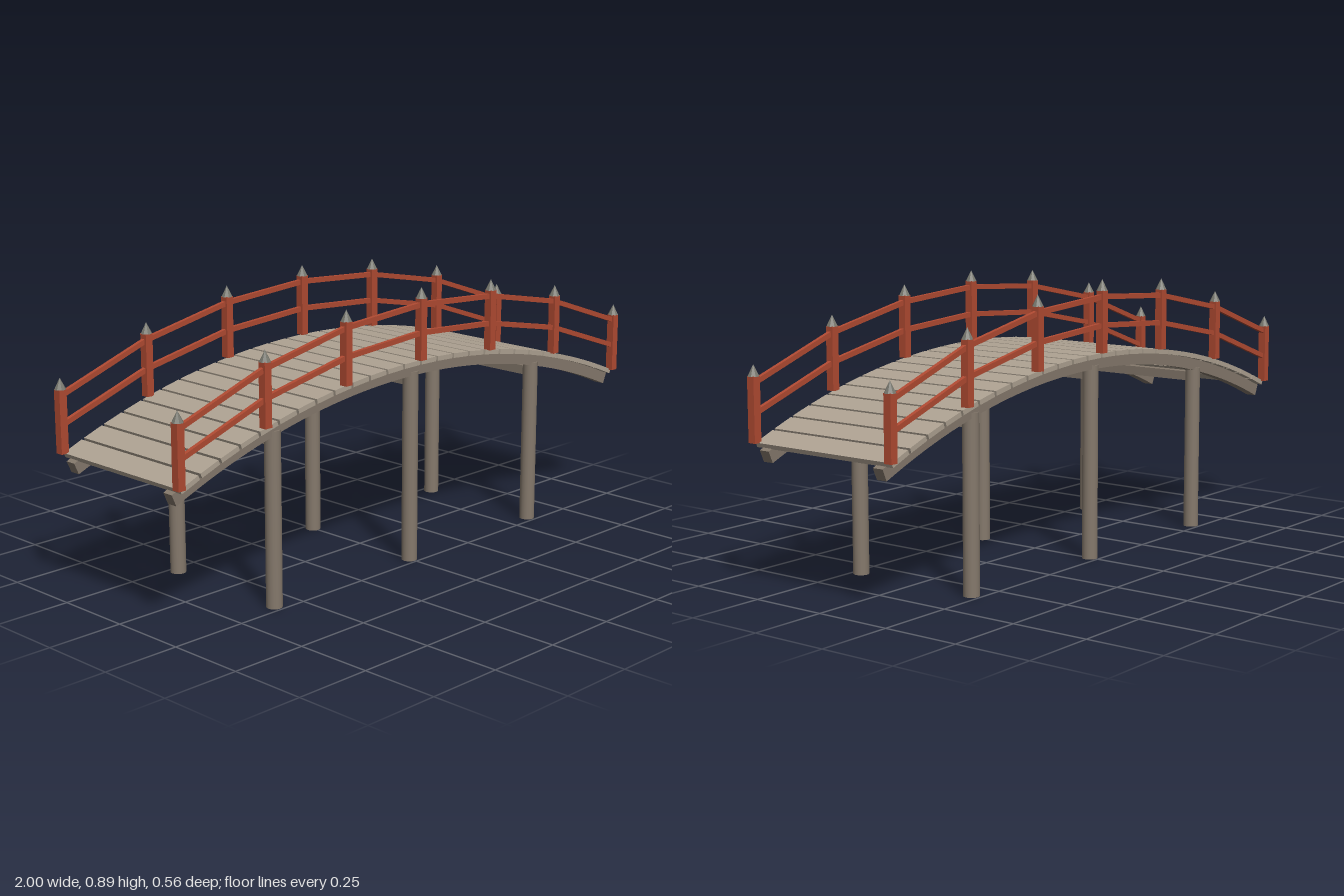
import * as THREE from 'three';

const material = (name, color) => new THREE.MeshStandardMaterial({ name, color });

// The deck follows a circular arc whose crown is at DECK_TOP.
const R = 2.5, DECK_TOP = 0.66, CY = DECK_TOP - R;
const deckY = (x, r = R) => CY + Math.sqrt(r * r - x * x);

export function createModel() {
  const model = new THREE.Group();
  model.name = 'archedFootbridge';
  const plankWood = material('pale plank wood', 0xaea292);
  const frameWood = material('brown frame wood', 0x85796c);
  const redPaint = material('red paint', 0xb04a32);
  const capMetal = material('grey cap', 0x77776e);

  const add = (name, geometry, mat, x, y, z, parent = model) => {
    const mesh = new THREE.Mesh(geometry, mat);
    mesh.name = name;
    mesh.position.set(x, y, z);
    parent.add(mesh);
    return mesh;
  };

  // Deck planks, laid across the arc with narrow gaps
  const deck = new THREE.Group();
  deck.name = 'deck';
  model.add(deck);
  const COUNT = 26, PITCH = 0.0757;
  for (let i = 0; i < COUNT; i++) {
    const x = (i - (COUNT - 1) / 2) * PITCH;
    const angle = Math.asin(x / R);
    const width = PITCH / Math.cos(angle) - 0.009;
    const r = R - 0.0085;
    const plank = add('plank', new THREE.BoxGeometry(width, 0.015, 0.524), plankWood,
      r * Math.sin(angle), CY + r * Math.cos(angle), 0, deck);
    plank.rotation.z = -angle;
  }

  // Curved side beams under the planks
  const OUTER = R - 0.014, INNER = R - 0.053, HALF = 0.409;
  const arch = new THREE.Shape();
  arch.absarc(0, 0, OUTER, Math.PI / 2 + HALF, Math.PI / 2 - HALF, true);
  arch.absarc(0, 0, INNER, Math.PI / 2 - HALF, Math.PI / 2 + HALF, false);
  arch.closePath();
  const archGeometry = new THREE.ExtrudeGeometry(arch, { depth: 0.036, bevelEnabled: false, curveSegments: 28 });
  archGeometry.translate(0, 0, -0.018);
  for (const side of [-1, 1]) add('sideBeam', archGeometry, frameWood, 0, CY, side * 0.219);

  // Round pillars in pairs, each pair joined by a cross beam
  for (const x of [-0.59, 0, 0.59]) {
    const top = deckY(x, INNER) + 0.012;
    for (const side of [-1, 1]) {
      add('pillar', new THREE.CylinderGeometry(0.025, 0.025, top, 16), frameWood, x, top / 2, side * 0.219);
    }
    add('crossBeam', new THREE.BoxGeometry(0.03, 0.03, 0.43), frameWood, x, top - 0.03, 0);
  }

  // Railings: capped posts joined by two straight rails per bay
  const POST = 0.195, BAY = 0.3275;
  const postGeometry = new THREE.BoxGeometry(0.026, POST, 0.026);
  const capGeometry = new THREE.ConeGeometry(0.018, 0.035, 8).toNonIndexed();
  capGeometry.rotateY(Math.PI / 8);
  capGeometry.computeVertexNormals();
  for (const side of [-1, 1]) {
    const railing = new THREE.Group();
    railing.name = side > 0 ? 'frontRailing' : 'backRailing';
    model.add(railing);
    const z = side * 0.262;
    for (let i = -3; i <= 3; i++) {
      const x = i * BAY, y = deckY(x);
      add('post', postGeometry, redPaint, x, y + POST / 2, z, railing);
      add('postCap', capGeometry, capMetal, x, y + POST + 0.0165, z, railing);
      if (i === 3) continue;
      const x2 = x + BAY, y2 = deckY(x2);
      for (const [name, height] of [['lowerRail', 0.086], ['upperRail', 0.175]]) {
        const rail = add(name, new THREE.BoxGeometry(Math.hypot(BAY, y2 - y), 0.016, 0.013), redPaint,
          (x + x2) / 2, (y + y2) / 2 + height, z, railing);
        rail.rotation.z = Math.atan2(y2 - y, BAY);
      }
    }
  }
  return model;
}
